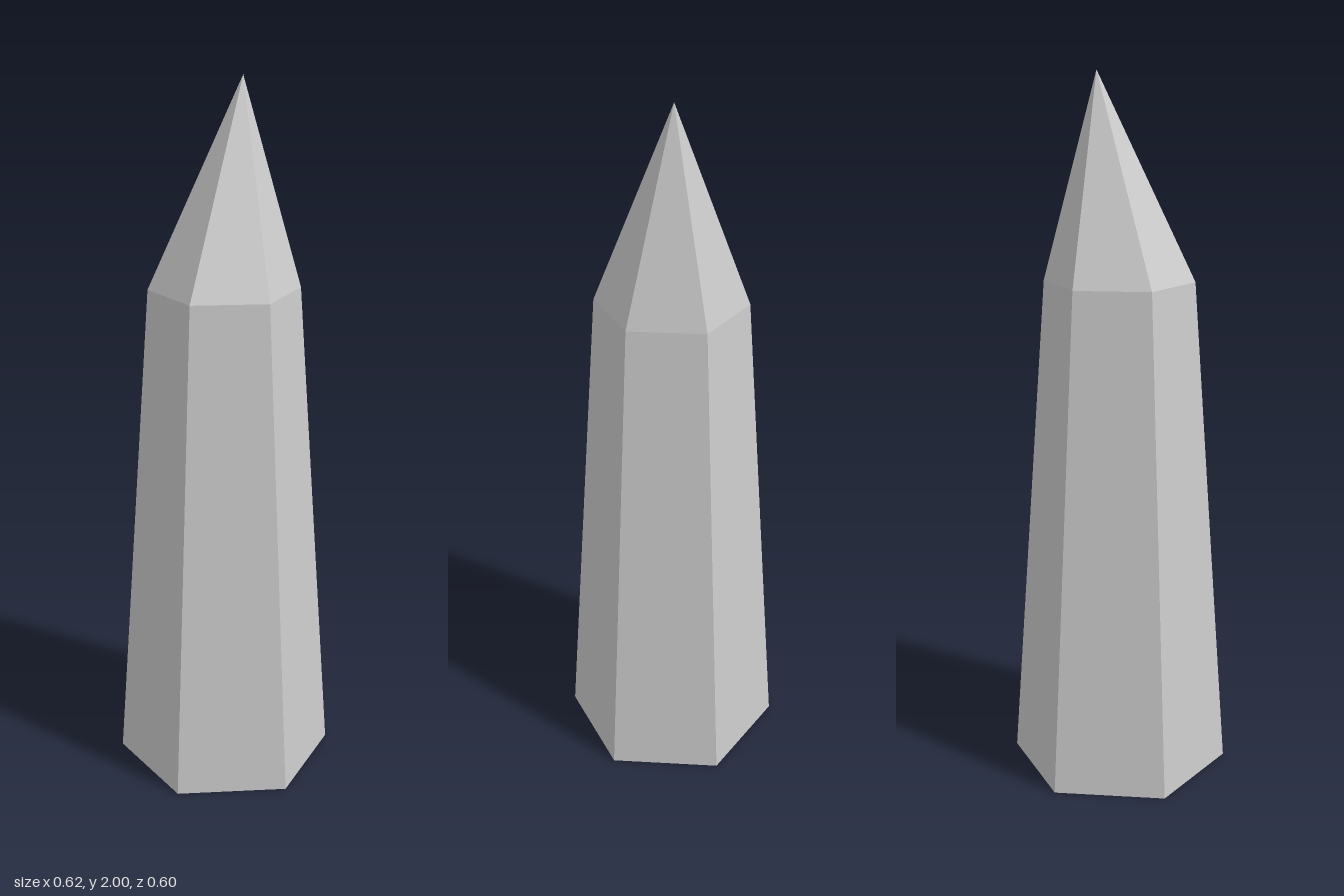
import * as THREE from 'three';

export function createModel() {
  const group = new THREE.Group();
  const material = new THREE.MeshStandardMaterial({ color: 0xcccccc, flatShading: true });

  const sides = 6;
  const turn = THREE.MathUtils.degToRad(18.69);
  const baseRadius = 0.316;
  const shoulderRadius = 0.211;
  const shoulderY = 1.436;
  const apex = new THREE.Vector3(0.06, 2, -0.032);

  // Tapered hexagonal shaft with a closed base, open where the tip sits
  const shaftGeometry = new THREE.CylinderGeometry(shoulderRadius, baseRadius, shoulderY, sides, 1, true, turn);
  shaftGeometry.translate(0, shoulderY / 2, 0);
  const shaft = new THREE.Mesh(shaftGeometry, material);
  shaft.name = 'crystalShaft';
  group.add(shaft);

  // Flat hexagonal underside
  const baseGeometry = new THREE.CircleGeometry(baseRadius, sides);
  baseGeometry.rotateX(Math.PI / 2).rotateY(turn - Math.PI / 2);
  const base = new THREE.Mesh(baseGeometry, material);
  base.name = 'crystalBase';
  group.add(base);

  // Six-sided tip, sheared so that its apex sits off centre
  const tipHeight = apex.y - shoulderY;
  const tipGeometry = new THREE.ConeGeometry(shoulderRadius, tipHeight, sides, 1, true, turn);
  tipGeometry.translate(0, tipHeight / 2, 0);
  tipGeometry.applyMatrix4(new THREE.Matrix4().set(
    1, apex.x / tipHeight, 0, 0,
    0, 1, 0, shoulderY,
    0, apex.z / tipHeight, 1, 0,
    0, 0, 0, 1
  ));
  const tip = new THREE.Mesh(tipGeometry, material);
  tip.name = 'crystalTip';
  group.add(tip);

  return group;
}
